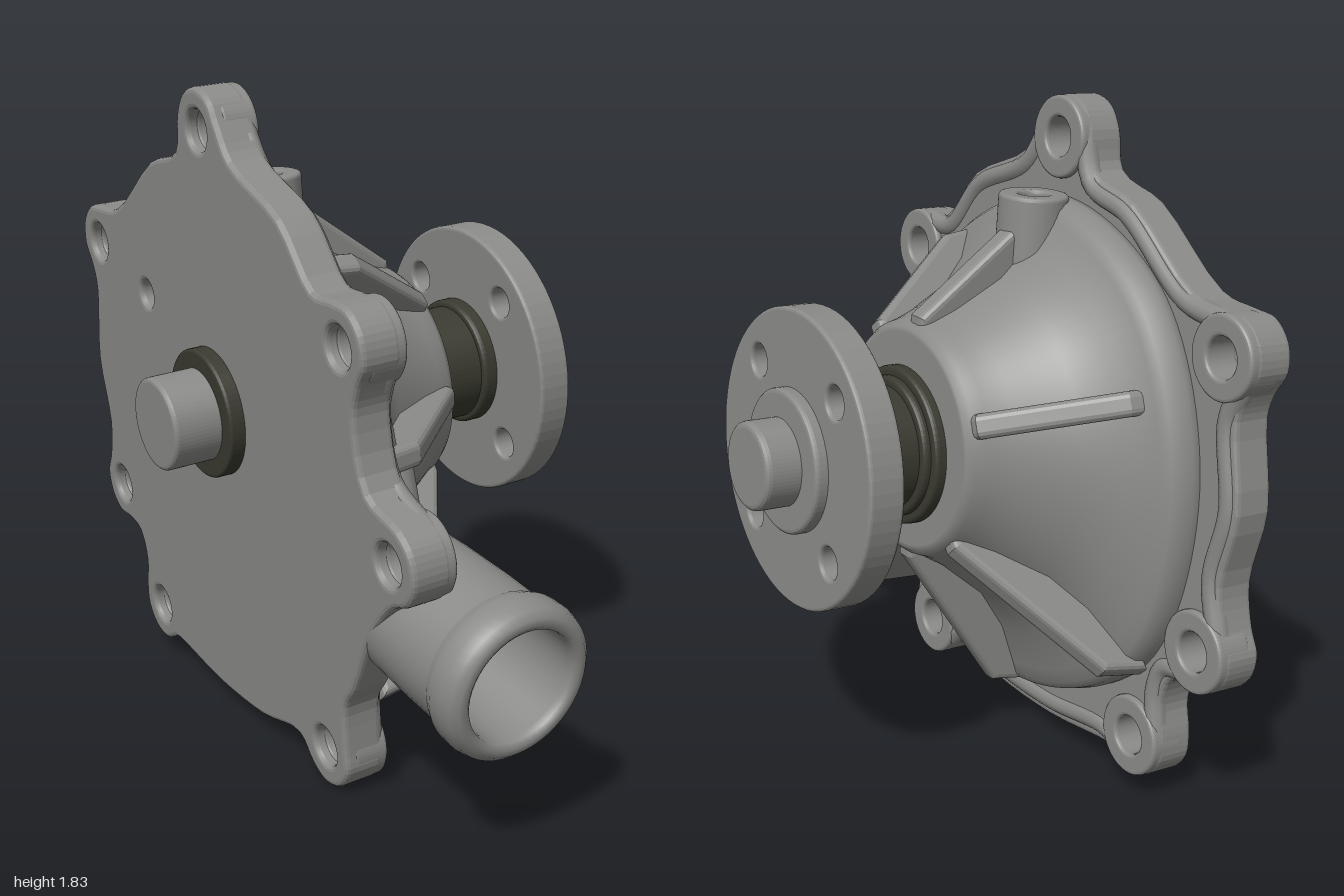
import * as THREE from 'three';

const metal = new THREE.MeshStandardMaterial({ color: 0x8a8a88 });
metal.name = 'castGrey';
const dark = new THREE.MeshStandardMaterial({ color: 0x3a3a30 });
dark.name = 'darkSeal';

const V2 = (x, y) => new THREE.Vector2(x, y);
const rad = THREE.MathUtils.degToRad;

function add(parent, name, geometry, material = metal) {
  const mesh = new THREE.Mesh(geometry, material);
  mesh.name = name;
  parent.add(mesh);
  return mesh;
}

function group(parent, name) {
  const g = new THREE.Group();
  g.name = name;
  parent.add(g);
  return g;
}

// Shape extruded along the pump axis from w0 to w1, with rounded rims
function plate(shape, w0, w1, c = 0.015) {
  return new THREE.ExtrudeGeometry(shape, {
    depth: w1 - w0 - 2 * c, bevelThickness: c, bevelSize: c, bevelOffset: -c,
    bevelSegments: 3, curveSegments: 36,
  }).translate(0, 0, w0 + c);
}

const circle = r => new THREE.Shape().absarc(0, 0, r, 0, Math.PI * 2);
const hole = (x, y, r) => new THREE.Path().absarc(x, y, r, 0, Math.PI * 2, true);
const disc = (r, w0, w1, c = 0.012) => plate(circle(r), w0, w1, c);

// Bolt lugs anticlockwise, each with the flange edge points that follow it
const lugs = [
  { at: [0.70, 0.365], edge: [[0.55, 0.49], [0.285, 0.665], [0.11, 0.72]] },
  { at: [-0.03, 0.79], edge: [[-0.2, 0.73], [-0.44, 0.62], [-0.585, 0.465]] },
  { at: [-0.70, 0.35], edge: [[-0.75, 0.185], [-0.79, 0.0]] },
  { at: [-0.875, -0.155], edge: [[-0.78, -0.38], [-0.67, -0.58], [-0.62, -0.65]] },
  { at: [-0.50, -0.815], edge: [[-0.36, -0.84], [-0.145, -0.875], [0.12, -0.875], [0.39, -0.84]] },
  { at: [0.495, -0.76], edge: [[0.585, -0.635], [0.615, -0.55]] },
  { at: [0.71, -0.42], edge: [[0.765, -0.225], [0.80, -0.02], [0.76, 0.215]] },
];

function lugPoint({ at: [x, y] }, degrees, r) {
  const a = Math.atan2(y, x) + rad(degrees);
  return V2(x + r * Math.cos(a), y + r * Math.sin(a));
}

function buildFlange(face) {
  const outline = [];
  for (const lug of lugs) {
    for (const d of [-75, -38, 0, 38, 75]) outline.push(lugPoint(lug, d, 0.114));
    for (const e of lug.edge) outline.push(V2(...e));
  }
  const curve = new THREE.CatmullRomCurve3(outline.map(p => new THREE.Vector3(p.x, p.y, 0)), true);
  const shape = new THREE.Shape(curve.getPoints(220).slice(0, -1).map(p => V2(p.x, p.y)));
  for (const { at } of lugs) shape.holes.push(hole(...at, 0.056));
  shape.holes.push(hole(0.385, 0.266, 0.04));
  add(face, 'flangePlate', plate(shape, -0.44, -0.325));

  lugs.forEach((lug, i) => {
    const ring = new THREE.Shape().absarc(...lug.at, 0.112, 0, Math.PI * 2);
    ring.holes.push(hole(...lug.at, 0.054));
    add(face, 'boltBoss', plate(ring, -0.41, -0.308, 0.01));
    // low bead along the flange edge up to the next lug
    const next = lugs[(i + 1) % lugs.length];
    const path = [lugPoint(lug, 75, 0.082), ...lug.edge.map(e => V2(...e).multiplyScalar(0.95)),
      lugPoint(next, -75, 0.082)].map(p => new THREE.Vector3(p.x, p.y, -0.342));
    add(face, 'edgeBead', new THREE.TubeGeometry(new THREE.CatmullRomCurve3(path), 30, 0.031, 10));
  });
}

// Volute housing: rings blending from an uneven rim to a round hub
function buildHousing(face) {
  const rim = [0.66, 0.65, 0.635, 0.62, 0.67, 0.81, 0.79, 0.75].map((r, i) =>
    new THREE.Vector3(r * Math.cos(i * Math.PI / 4), r * Math.sin(i * Math.PI / 4), 0));
  const n = 96;
  const loop = new THREE.CatmullRomCurve3(rim, true).getPoints(n).slice(0, n);
  // [blend towards rim, height, hub radius]
  const rings = [[0, -0.36, 0], [1, -0.36, 0.32], [1, -0.305, 0.32], [0.985, -0.272, 0.32], [0.94, -0.25, 0.32],
    [0.85, -0.235, 0.32], [0.6, -0.19, 0.32], [0.35, -0.11, 0.32], [0.12, 0.025, 0.32],
    [0.03, 0.095, 0.32], [0, 0.13, 0.32], [0, 0.15, 0.305], [0, 0.15, 0.29], [0, 0.15, 0]];
  const pos = [], index = [];
  rings.forEach(([s, w, hub], i) => loop.forEach((p, j) => {
    const r = THREE.MathUtils.lerp(hub, p.length(), s) / p.length();
    pos.push(p.x * r, p.y * r, w);
    if (i + 1 < rings.length) {
      const a = i * n + j, b = i * n + (j + 1) % n;
      index.push(a, b, b + n, a, b + n, a + n);
    }
  }));
  const g = new THREE.BufferGeometry();
  g.setAttribute('position', new THREE.Float32BufferAttribute(pos, 3));
  g.setIndex(index);
  g.computeVertexNormals();
  add(face, 'housing', g);

  // gusset ribs: [angle, end radius, end height]
  for (const [angle, end, w] of [[22, 0.56, -0.19], [90, 0.55, -0.15], [128, 0.57, -0.17], [179, 0.66, -0.2],
    [-131, 0.87, -0.13], [-89, 0.76, -0.18], [-46, 0.74, -0.18]]) {
    const s = new THREE.Shape([V2(0.25, -0.3), V2(end + 0.02, -0.3), V2(end, w), V2(0.335, 0.125), V2(0.25, 0.125)]);
    const rib = new THREE.ExtrudeGeometry(s, {
      depth: 0.03, bevelThickness: 0.018, bevelSize: 0.018, bevelOffset: -0.01, bevelSegments: 3,
    }).translate(0, 0, -0.015).rotateX(Math.PI / 2).rotateZ(rad(angle));
    add(face, 'rib', rib);
  }

  // upright drilled boss on top of the housing
  const boss = circle(0.095);
  boss.holes.push(hole(0, 0, 0.042));
  add(face, 'topBoss', plate(boss, 0.3, 0.645, 0.01).rotateX(-Math.PI / 2).translate(-0.01, 0, -0.23));
}

function buildShaft(face) {
  const rear = group(face, 'rearShaftParts');
  rear.position.y = 0.01;
  add(rear, 'rearShaft', disc(0.13, -0.622, -0.42));
  add(rear, 'rearSeal', disc(0.182, -0.484, -0.42, 0.008), dark);

  const front = group(face, 'frontShaftParts');
  front.position.y = -0.013;
  add(front, 'frontSealFlange', disc(0.215, 0.13, 0.182), dark);
  add(front, 'frontSealStep', disc(0.19, 0.16, 0.203), dark);
  add(front, 'bearingSleeve', disc(0.167, 0.17, 0.37, 0.005), dark);
  add(front, 'sleeveCollar', disc(0.185, 0.345, 0.4), dark);
  // drive flange with four bolt holes
  const drive = circle(0.4);
  for (const x of [-0.204, 0.204]) for (const y of [-0.214, 0.214]) drive.holes.push(hole(x, y, 0.043));
  add(front, 'driveFlange', plate(drive, 0.388, 0.487, 0.01));
  add(front, 'driveHub', disc(0.192, 0.47, 0.522));
  add(front, 'frontShaft', disc(0.117, 0.5, 0.62, 0.016));
}

// Hose inlet: hollow spout with a rounded lip, blended into the housing
function buildInlet(root) {
  const inward = new THREE.Vector3(-0.028, 0.125, -0.785).normalize();
  const profile = [[0, 0.401], [0.15, 0.401], [0.155, 0.4], [0.155, 0.03], [0.157, 0.01], [0.17, 0], [0.19, 0.003],
    [0.208, 0.02], [0.216, 0.05], [0.215, 0.09], [0.205, 0.115], [0.197, 0.13], [0.197, 0.25],
    [0.192, 0.42], [0.178, 0.65], [0.165, 0.8]];
  const spout = add(root, 'inletSpout', new THREE.LatheGeometry(profile.map(p => V2(...p)), 48));
  spout.quaternion.setFromUnitVectors(new THREE.Vector3(0, 1, 0), inward);
  spout.position.set(-0.21, 0.503, 0.977);

  const elbow = add(root, 'inletElbow', new THREE.SphereGeometry(1, 40, 24));
  elbow.scale.set(0.185, 0.24, 0.29);
  elbow.position.set(-0.23, 0.6, 0.27);
  elbow.rotation.x = rad(9);

  // web joining the inlet to the rib above it
  const web = add(root, 'inletWeb', new THREE.CapsuleGeometry(0.07, 0.22, 8, 20));
  web.position.set(-0.22, 0.82, 0.4);
  web.rotation.x = rad(-18);
}

export function createModel() {
  const root = new THREE.Group();
  root.name = 'waterPump';
  // the pump axis leans slightly upward towards the drive flange
  const lean = group(root, 'pumpBody');
  lean.position.set(0, 0.957, -0.165);
  lean.rotation.z = rad(3.5);
  // face frame: z runs along the pump axis
  const face = group(lean, 'faceFrame');
  face.rotation.y = Math.PI / 2;
  buildFlange(face);
  buildHousing(face);
  buildShaft(face);
  buildInlet(root);
  return root;
}
